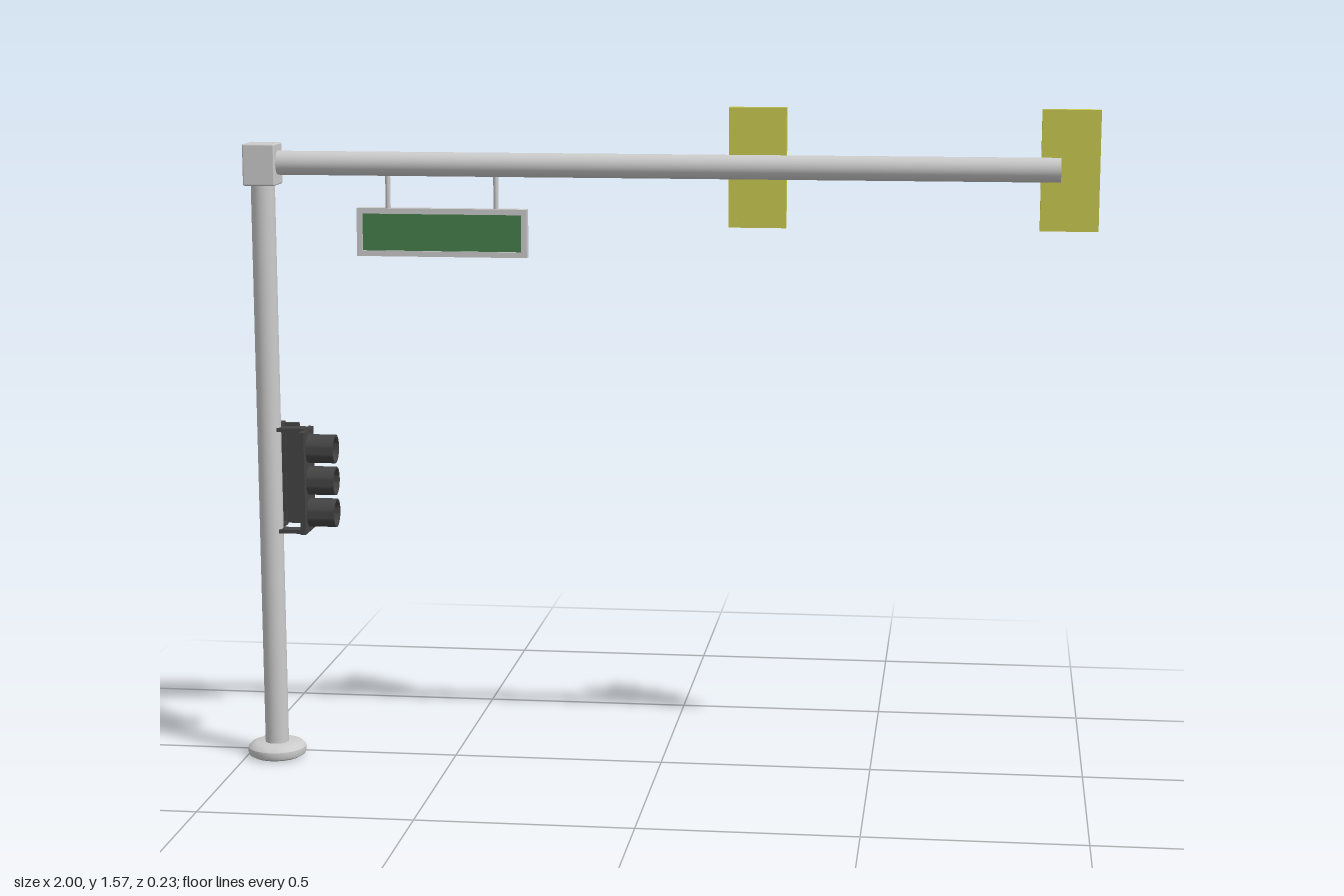
import * as THREE from 'three';
import { toCreasedNormals } from 'three/addons/utils/BufferGeometryUtils.js';
import { RoundedBoxGeometry } from 'three/addons/geometries/RoundedBoxGeometry.js';

const POLE_X = -0.93, POLE_Z = 0.044, ARM_Y = 1.431, RADIUS = 0.028;

const mat = (color) => new THREE.MeshStandardMaterial({ color });
const grey = mat(0xcccccc), dark = mat(0x444444), yellow = mat(0xcccc52), signGreen = mat(0x45804a);
const lensMats = [mat(0xa01015), mat(0x9c9c00), mat(0x10a018)];

function add(parent, name, geometry, material, x = 0, y = 0, z = 0) {
  const mesh = new THREE.Mesh(geometry, material);
  mesh.name = name;
  mesh.position.set(x, y, z);
  parent.add(mesh);
  return mesh;
}

const box = (w, h, d) => new THREE.BoxGeometry(w, h, d);

function lathe(points, segments) {
  const g = new THREE.LatheGeometry(points.map(([r, y]) => new THREE.Vector2(r, y)), segments);
  return toCreasedNormals(g, 0.6);
}

// Rectangular frame, centred, extruded along z
function frame(w, h, border, depth) {
  const rect = (P, a, b) => new P([[-a, -b], [a, -b], [a, b], [-a, b]].map(([x, y]) => new THREE.Vector2(x, y)));
  const shape = rect(THREE.Shape, w / 2, h / 2);
  shape.holes.push(rect(THREE.Path, w / 2 - border, h / 2 - border));
  return new THREE.ExtrudeGeometry(shape, { depth, bevelEnabled: false }).translate(0, 0, -depth / 2);
}

// Three-lamp head facing +z, front of its panel at z = 0
function signalHead(name) {
  const head = new THREE.Group();
  head.name = name;
  add(head, 'headPanel', box(0.1, 0.245, 0.012), dark, 0, 0, -0.006);
  const visor = lathe([[0.034, 0], [0.034, 0.065], [0.029, 0.065], [0.029, 0.035]], 32).rotateX(Math.PI / 2);
  const lens = new THREE.CylinderGeometry(0.0295, 0.0295, 0.04, 32).rotateX(Math.PI / 2);
  lensMats.forEach((m, i) => {
    const y = (1 - i) * 0.077;
    add(head, 'visor', visor, dark, 0, y, 0);
    add(head, 'lens', lens, m, 0, y, 0.02);
  });
  return head;
}

// Head standing off the pole on a C-shaped bracket
function poleSignal(name, angle) {
  const g = new THREE.Group();
  g.name = name;
  const head = signalHead('signalHead');
  head.position.z = 0.095;
  g.add(head);
  for (const s of [-1, 1]) add(g, 'bracketArm', box(0.034, 0.009, 0.07), dark, 0, s * 0.1225, 0.055);
  add(g, 'bracketSpine', box(0.034, 0.254, 0.007), dark, 0, 0, 0.0835);
  g.position.set(POLE_X, 0.679, POLE_Z);
  g.rotation.y = angle;
  return g;
}

// Head set into a yellow backplate, facing the back
function armSignal(x) {
  const g = new THREE.Group();
  g.name = 'armSignal';
  add(g, 'backplateFrame', frame(0.132, 0.275, 0.016, 0.025), yellow, 0, 0, 0.0125);
  add(g, 'backplate', box(0.13, 0.273, 0.007), yellow, 0, 0, 0.0037);
  const head = signalHead('signalHead');
  head.position.z = 0.013;
  g.add(head);
  g.position.set(x, 1.428, 0.025);
  g.rotation.y = Math.PI;
  return g;
}

export function createModel() {
  const root = new THREE.Group();
  root.name = 'trafficSignalMast';

  // Pole, base, joint and arm
  const base = [[0, 0], [0.058, 0], [0.067, 0.005], [0.07, 0.013], [0.069, 0.023], [0.062, 0.031], [0.05, 0.035], [0, 0.035]];
  add(root, 'base', lathe(base, 40), grey, POLE_X, 0, POLE_Z);
  add(root, 'pole', new THREE.CylinderGeometry(RADIUS, RADIUS, 1.4, 32), grey, POLE_X, 0.72, POLE_Z);
  add(root, 'joint', new RoundedBoxGeometry(0.076, 0.097, 0.076, 2, 0.004), grey, POLE_X, 1.428, POLE_Z);
  const armLength = 0.912 - POLE_X;
  const arm = new THREE.CylinderGeometry(RADIUS, RADIUS, armLength, 32).rotateZ(Math.PI / 2);
  add(root, 'arm', arm, grey, POLE_X + armLength / 2, ARM_Y, POLE_Z);

  // Hanging sign with two hangers
  const sign = new THREE.Group();
  sign.name = 'hangingSign';
  sign.position.set(-0.506, 1.273, POLE_Z);
  add(sign, 'signFrame', frame(0.4, 0.112, 0.013, 0.024), grey);
  add(sign, 'signPanel', box(0.38, 0.092, 0.014), signGreen);
  for (const s of [-1, 1]) {
    add(sign, 'hanger', new THREE.CylinderGeometry(0.006, 0.006, 0.095, 16), grey, s * 0.127, 0.1, 0);
  }
  root.add(sign);

  // Signals on the arm and the pole
  for (const x of [0.225, 0.934]) root.add(armSignal(x));
  root.add(poleSignal('sidePoleSignal', Math.PI / 2), poleSignal('backPoleSignal', Math.PI));
  return root;
}
